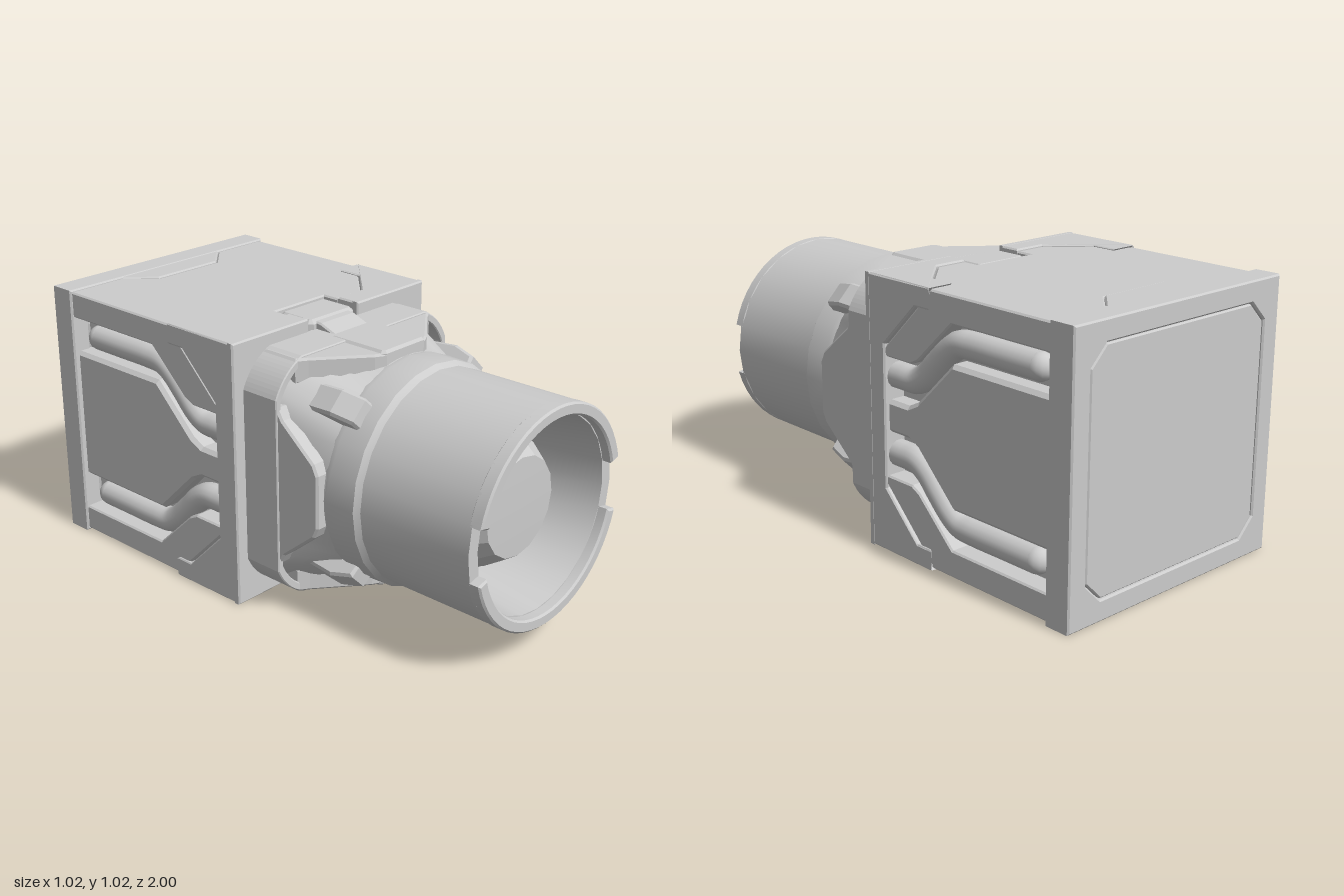
import * as THREE from 'three';
import { toCreasedNormals } from 'three/addons/utils/BufferGeometryUtils.js';

const grey = new THREE.MeshStandardMaterial({ color: 0xcccccc });
grey.name = 'light grey';

function add(parent, name, geometry) {
  const mesh = new THREE.Mesh(geometry, grey);
  mesh.name = name;
  parent.add(mesh);
  return mesh;
}

const shapeOf = (pts) => new THREE.Shape(pts.map(([x, y]) => new THREE.Vector2(x, y)));

// Extrusion from z0 to z1 with a small bevel kept inside the outline
function slab(shape, z0, z1, b = 0.006) {
  const geo = new THREE.ExtrudeGeometry(shape, {
    depth: z1 - z0 - 2 * b, bevelEnabled: true, bevelSegments: 1,
    bevelSize: b, bevelThickness: b, bevelOffset: -b, curveSegments: 12,
  });
  return geo.translate(0, 0, z0 + b);
}
// Outline in (-z, y), thickness along x
const sidePlate = (pts, x0, x1, b) => slab(shapeOf(pts), x0, x1, b).rotateY(Math.PI / 2);
// Outline in (x, -z), thickness along y
const topPlate = (pts, y0, y1, b) => slab(shapeOf(pts), y0, y1, b).rotateX(-Math.PI / 2);

const flipX = (pts) => pts.map(([x, y]) => [-x, y]);
const flipY = (pts) => pts.map(([x, y]) => [x, -y]);
const withMirrorX = (pts) => [...pts, ...flipX(pts).reverse()];
const withMirrorY = (pts) => [...pts, ...flipY(pts).reverse()];

// Square of half size h with rounded corners of size c
function roundedSquare(h, c, ShapeType = THREE.Shape) {
  const s = new ShapeType();
  s.moveTo(h - c, -h);
  s.quadraticCurveTo(h - c * 0.3, -h + c * 0.3, h, -h + c);
  s.lineTo(h, h - c);
  s.quadraticCurveTo(h - c * 0.3, h - c * 0.3, h - c, h);
  s.lineTo(-h + c, h);
  s.quadraticCurveTo(-h + c * 0.3, h - c * 0.3, -h, h - c);
  s.lineTo(-h, -h + c);
  s.quadraticCurveTo(-h + c * 0.3, -h + c * 0.3, -h + c, -h);
  s.closePath();
  return s;
}

// Side panels, pipes and frame of the +x side
function sideAssembly() {
  const g = new THREE.Group();
  add(g, 'sideFrontFrame', sidePlate(withMirrorY([[0.01, 0.506], [0.34, 0.506], [0.1, 0.266]]), 0.4, 0.507));
  add(g, 'sideCentrePanel', sidePlate(withMirrorY([
    [0.09, 0.06], [0.2, 0.06], [0.25, 0.085], [0.43, 0.26], [0.9, 0.26]]), 0.4, 0.49, 0.014));
  const edge = [[0.09, 0.22], [0.23, 0.22], [0.27, 0.24], [0.44, 0.4], [0.9, 0.4], [0.9, 0.5], [0.344, 0.5], [0.09, 0.25]];
  const path = [[0.06, 0.145], [0.14, 0.145], [0.21, 0.148], [0.26, 0.175], [0.32, 0.235], [0.38, 0.292],
    [0.43, 0.322], [0.5, 0.328], [0.65, 0.328], [0.8, 0.328]];
  for (const s of [1, -1]) {
    add(g, 'sideOuterPanel', sidePlate(s > 0 ? edge : flipY(edge), 0.4, 0.499));
    const curve = new THREE.CatmullRomCurve3(path.map(([u, y]) => new THREE.Vector3(0.445, s * y, -u)));
    add(g, 'pipe', new THREE.TubeGeometry(curve, 40, 0.049, 14));
    add(g, 'pipeEnd', new THREE.SphereGeometry(0.049, 14, 10)).position.set(0.445, s * 0.328, -0.8);
  }
  return g;
}

// Panels and clamp of the top
function topAssembly() {
  const g = new THREE.Group();
  const corner = [[0.507, 0.01], [0.507, 0.34], [0.262, 0.1], [0.13, 0.1], [0.13, 0.01]];
  add(g, 'frontCornerPanel', topPlate(corner, 0.43, 0.507));
  add(g, 'frontCornerPanel', topPlate(flipX(corner), 0.43, 0.507));
  add(g, 'mainPanel', topPlate(withMirrorX([[0.13, 0.17], [0.13, 0.103], [0.262, 0.103], [0.499, 0.338],
    [0.499, 0.9], [0.262, 0.9], [0.15, 0.79]]), 0.43, 0.5));
  add(g, 'rearPanelTab', topPlate(withMirrorX([[0.262, 0.91], [0.262, 0.9], [0.152, 0.793]]), 0.43, 0.505));
  add(g, 'clampBack', topPlate(withMirrorX([[0.11, 0.165], [0.12, 0.15], [0.12, 0.015], [0.105, 0]]), 0.4, 0.495, 0.015));
  add(g, 'clampNeck', sidePlate([[0.02, 0.4], [0.02, 0.488], [-0.02, 0.485], [-0.1, 0.455], [-0.1, 0.4]], -0.09, 0.09));
  add(g, 'clampFront', topPlate(withMirrorX([[0.115, -0.09], [0.115, -0.33], [0.1, -0.345]]), 0.38, 0.462, 0.01));
  return g;
}

// Rounded square at the back blended into a circle at the front
function collarBlend() {
  const geo = new THREE.CylinderGeometry(0.42, 0.42, 0.26, 64, 1, true).rotateX(Math.PI / 2).translate(0, 0, 0.22);
  const p = geo.attributes.position;
  for (let i = 0; i < p.count; i++) {
    if (p.getZ(i) > 0.2) continue;
    const a = Math.atan2(p.getY(i), p.getX(i));
    const r = Math.min(0.435 / Math.max(Math.abs(Math.cos(a)), Math.abs(Math.sin(a))), 0.54);
    p.setXY(i, r * Math.cos(a), r * Math.sin(a));
  }
  geo.computeVertexNormals();
  return geo;
}

const lathe = (pts, seg, crease) => toCreasedNormals(
  new THREE.LatheGeometry(pts.map(([r, z]) => new THREE.Vector2(r, z)), seg).rotateX(Math.PI / 2), crease);

export function createModel() {
  const model = new THREE.Group();
  model.name = 'squareHousingWithBarrel';
  const rig = new THREE.Group();
  rig.name = 'housing';
  rig.position.y = 0.508;
  model.add(rig);

  // Housing core and front face with clamp notches
  add(rig, 'core', new THREE.BoxGeometry(0.84, 0.88, 0.93)).position.z = -0.475;
  const half = [[0.13, 0.44], [0.13, 0.508], [0.508, 0.508]];
  add(rig, 'frontFace', slab(shapeOf(withMirrorX([...half, ...flipY(half).reverse()])), -0.03, 0));

  // Back bezel with a shallow inset panel
  const bezel = shapeOf([[-0.508, -0.508], [0.508, -0.508], [0.508, 0.508], [-0.508, 0.508]]);
  const h = 0.43, c = 0.07;
  const octagon = [[h - c, -h], [h, -h + c], [h, h - c], [h - c, h], [-h + c, h], [-h, h - c], [-h, -h + c], [-h + c, -h]];
  bezel.holes.push(shapeOf(octagon));
  add(rig, 'backBezel', slab(bezel, -1, -0.893));
  add(rig, 'backPanel', slab(shapeOf(octagon.map(([x, y]) => [x * 0.992, y * 0.992])), -0.996, -0.9, 0.005));

  // Opposite faces repeat by a half turn
  for (let i = 0; i < 2; i++) {
    const side = sideAssembly(), top = topAssembly();
    side.name = i ? 'rightSide' : 'leftSide';
    top.name = i ? 'bottomSide' : 'topSide';
    side.rotation.z = top.rotation.z = i * Math.PI;
    rig.add(side, top);
  }

  // Mount base, lip and blend into the barrel
  add(rig, 'mountBase', slab(roundedSquare(0.46, 0.13), -0.01, 0.1));
  const lip = roundedSquare(0.46, 0.13);
  lip.holes.push(roundedSquare(0.435, 0.12, THREE.Path));
  add(rig, 'mountLip', slab(lip, 0.09, 0.16, 0.004));
  add(rig, 'mountBlend', collarBlend());

  // Four tapering arms and four diagonal pegs
  for (let i = 0; i < 4; i++) {
    const w = i % 2 ? 0.3 : 0.36;
    const arm = topPlate(withMirrorX([[w, 0], [w, -0.155], [w - 0.04, -0.18], [0.14, -0.325], [0.1, -0.345]]), 0.36, 0.453, 0.008);
    add(rig, 'mountArm', arm).rotation.z = i * Math.PI / 2;
    const peg = sidePlate([[-0.2, 0.38], [-0.22, 0.475], [-0.33, 0.485], [-0.42, 0.46], [-0.43, 0.38]], -0.052, 0.052, 0.01);
    add(rig, 'peg', peg).rotation.z = Math.PI / 4 + i * Math.PI / 2;
  }

  // Barrel with a tapering bore
  add(rig, 'barrel', lathe([[0.4, 0.25], [0.422, 0.35], [0.426, 0.37], [0.422, 0.48], [0.406, 0.5], [0.406, 0.96],
    [0.358, 0.96], [0.31, 0.58], [0.25, 0.7]], 24, 0.45));

  // Rim in two arcs, leaving a notch at each side
  const gap = 0.25;
  for (let i = 0; i < 2; i++) {
    const a0 = gap + i * Math.PI, a1 = Math.PI - gap + i * Math.PI;
    const arc = new THREE.Shape();
    arc.absarc(0, 0, 0.406, a0, a1, false);
    arc.absarc(0, 0, 0.36, a1, a0, true);
    add(rig, 'rimArc', toCreasedNormals(slab(arc, 0.945, 1, 0.007), 0.45));
  }

  // Faceted lens
  add(rig, 'lens', lathe([[0.25, 0.6], [0.256, 0.72], [0.256, 0.755], [0.24, 0.775], [0.236, 0.79],
    [0.185, 0.865], [0, 0.87]], 16, 0.2));
  return model;
}
